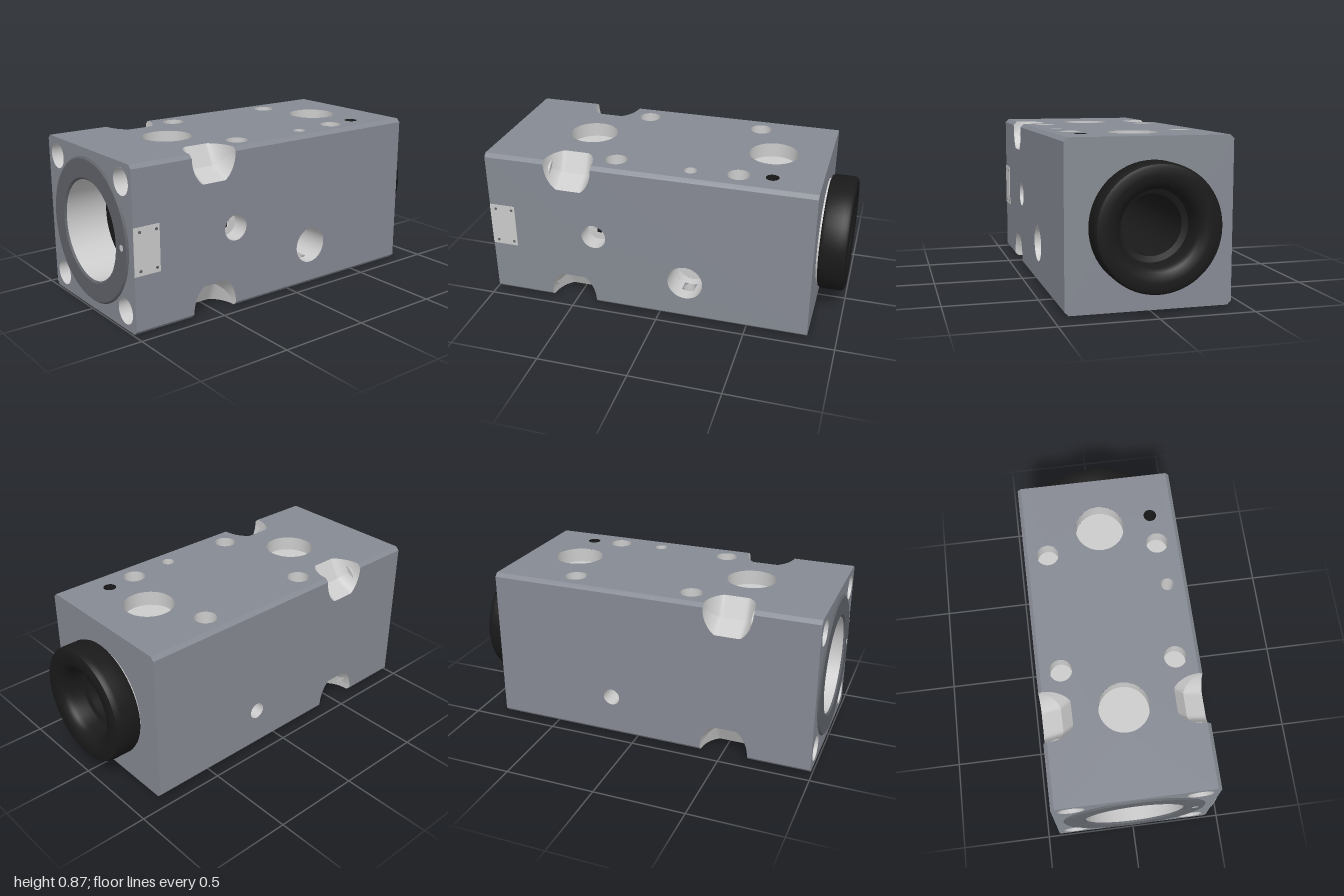
import * as THREE from 'three';
import { toCreasedNormals } from 'three/addons/utils/BufferGeometryUtils.js';

const H = 0.435, C = 0.02, X0 = -0.99, X1 = 0.84; // half width, chamfer, block ends
const NX = -0.51, NR = 0.135;                     // edge pocket centre and half width

const mat = (color) => new THREE.MeshStandardMaterial({ color, side: THREE.DoubleSide });
const BODY = mat(0x868a93), LIGHT = mat(0xcccccc), BLACK = mat(0x1a1a1a), DARK = mat(0x606369);

function add(parent, name, geometry, material) {
  const mesh = new THREE.Mesh(geometry, material);
  mesh.name = name;
  parent.add(mesh);
  return mesh;
}

const circle = (x, y, r) => new THREE.Path().absarc(x, y, r, 0, Math.PI * 2, true);

// Flat disc or annulus facing +z
function disc(r, inner, z) {
  const s = new THREE.Shape().absarc(0, 0, r, 0, Math.PI * 2);
  if (inner) s.holes.push(circle(0, 0, inner));
  return new THREE.ShapeGeometry(s, 24).translate(0, 0, z);
}

// Open tube along z from z0 down to z1
function tube(r, z0, z1, start = 0, length = Math.PI * 2) {
  return new THREE.CylinderGeometry(r, r, z0 - z1, 36, 1, true, start, length)
    .rotateX(Math.PI / 2).translate(0, 0, (z0 + z1) / 2);
}

// Solid of revolution about x from [radius, x] pairs
function turned(points) {
  const g = new THREE.LatheGeometry(points.map(([r, x]) => new THREE.Vector2(r, x)), 64);
  return toCreasedNormals(g.rotateZ(-Math.PI / 2), 0.6);
}

// Pocket outline samples: position along x, and 0..1 depth
const pocketSamples = Array.from({ length: 29 }, (_, i) => {
  const a = Math.PI * i / 28;
  return { x: NX - NR * Math.cos(a), s: Math.min(1, 1.17 * Math.sin(a)) };
});
const reach = (s) => C + 0.143 * s;

// One surface of a pocket, ruled between two edge curves
function ruled(curveA, curveB) {
  const pos = [], idx = [];
  pocketSamples.forEach((p, i) => {
    pos.push(p.x, ...curveA(p.s), p.x, ...curveB(p.s));
    if (i) idx.push(2 * i - 2, 2 * i - 1, 2 * i, 2 * i, 2 * i - 1, 2 * i + 1);
  });
  const g = new THREE.BufferGeometry();
  g.setAttribute('position', new THREE.Float32BufferAttribute(pos, 3));
  g.setIndex(idx);
  g.computeVertexNormals();
  return g;
}

// Long side with pockets cut in both edges, plus its upper chamfer and pocket
function makeSide(name, angle, holes) {
  const side = new THREE.Group();
  side.name = name;
  side.rotation.x = angle;
  const shape = new THREE.Shape();
  shape.moveTo(X0, -H + C);
  pocketSamples.forEach((p) => shape.lineTo(p.x, -H + reach(p.s)));
  shape.lineTo(X1, -H + C);
  shape.lineTo(X1, H - C);
  [...pocketSamples].reverse().forEach((p) => shape.lineTo(p.x, H - reach(p.s)));
  shape.lineTo(X0, H - C);
  for (const h of holes) shape.holes.push(circle(h.x, h.v, h.r));
  add(side, 'sideFace', new THREE.ShapeGeometry(shape, 24).translate(0, 0, H), BODY);

  for (const [a, b] of [[X0, NX - NR], [NX + NR, X1]]) {
    const strip = new THREE.PlaneGeometry(b - a, C * Math.SQRT2).rotateX(-Math.PI / 4);
    add(side, 'edgeChamfer', strip.translate((a + b) / 2, H - C / 2, H - C / 2), BODY);
  }
  const inner = (s) => [H - 0.01 - 0.097 * s, H - 0.01 - 0.097 * s];
  add(side, 'pocketFloor', ruled((s) => [H - reach(s), H], inner), LIGHT);
  add(side, 'pocketWall', ruled(inner, (s) => [H, H - reach(s)]), LIGHT);

  for (const h of holes) {
    const g = new THREE.Group();
    g.name = 'drilledHole';
    g.position.set(h.x, h.v, 0);
    side.add(g);
    const end = H - h.depth;
    if (h.crossed) {
      // Counterbore wall left open where the vertical hole passes through
      add(g, 'holeWall', tube(h.r, H, 0.36), LIGHT);
      add(g, 'holeWall', tube(h.r, 0.29, end), LIGHT);
      for (const t of [0.36, Math.PI + 0.36])
        add(g, 'holeWall', tube(h.r, 0.36, 0.29, t, Math.PI - 0.72), LIGHT);
    } else add(g, 'holeWall', tube(h.r, H, end), h.black ? BLACK : LIGHT);
    if (!h.through) add(g, 'holeFloor', disc(h.r, h.inner, end), h.black ? BLACK : LIGHT);
    if (h.inner) add(g, 'innerBore', tube(h.inner, end, h.innerEnd), LIGHT);
    if (h.pin) {
      add(g, 'innerFloor', disc(h.inner, 0, h.innerEnd), LIGHT);
      add(g, 'pin', new THREE.BoxGeometry(0.025, 0.045, 0.05).translate(0, 0, end - 0.02), BLACK);
    }
  }
  return side;
}

// Hole pattern shared by the top and bottom; k gives the direction of z
function mountingHoles(k) {
  const list = [
    { x: -0.51, v: 0, r: 0.135, depth: 0.08 },
    { x: 0.535, v: 0, r: 0.135, depth: 0.08 },
    { x: 0.15, v: 0.325 * k, r: 0.035, depth: k < 0 ? 0.54 : 0.13, through: true },
    { x: 0.58, v: 0.29 * k, r: 0.035, depth: 0.25, black: true },
  ];
  for (const x of [-0.27, 0.405])
    for (const v of [-0.305, 0.305]) list.push({ x, v, r: 0.06, depth: 0.08 });
  return list;
}

// Square end with clipped corners
function endShape(holes) {
  const k = H - C;
  const s = new THREE.Shape([[H, -k], [H, k], [k, H], [-k, H], [-H, k], [-H, -k], [-k, -H], [k, -H]]
    .map(([x, y]) => new THREE.Vector2(x, y)));
  s.holes.push(...holes);
  return new THREE.ShapeGeometry(s, 24);
}

export function createModel() {
  const model = new THREE.Group();
  model.name = 'machinedBlock';
  const block = new THREE.Group();
  block.name = 'block';
  block.position.y = H;
  model.add(block);

  // Four long sides
  block.add(
    makeSide('frontSide', 0, [
      { x: -0.375, v: 0.005, r: 0.07, depth: 0.1, inner: 0.03, innerEnd: 0.25, pin: true },
      { x: 0.15, v: -0.205, r: 0.1, depth: 0.2, inner: 0.047, innerEnd: -H, crossed: true },
    ]),
    makeSide('topSide', -Math.PI / 2, mountingHoles(-1)),
    makeSide('backSide', Math.PI, [{ x: 0.15, v: 0.205, r: 0.047, depth: 0.1, through: true }]),
    makeSide('bottomSide', Math.PI / 2, mountingHoles(1)),
  );

  // Ends, with corner bolt holes leading to the edge pockets
  add(block, 'leftEnd', endShape([circle(0, 0, 0.2)]).rotateY(Math.PI / 2).translate(X1, 0, 0), BODY);
  const corners = [[1, 1], [1, -1], [-1, 1], [-1, -1]].map(([a, b]) => [a * 0.335, b * 0.335]);
  const cuts = corners.map(([z, y]) => circle(z, y, 0.07));
  add(block, 'rightEnd', endShape([circle(0, 0, 0.27), ...cuts]).rotateY(-Math.PI / 2).translate(X0, 0, 0), BODY);
  for (const [z, y] of corners) {
    const bolt = add(block, 'boltHole', tube(0.07, -X0, 0.625), LIGHT);
    add(bolt, 'boltHoleEnd', disc(0.07, 0.04, 0.625), LIGHT);
    bolt.rotation.y = -Math.PI / 2;
    bolt.position.set(0, y, z);
  }

  // Flange ring and wide bore at the right end
  add(block, 'flangeRing', turned([[0.27, -0.99], [0.28, -1], [0.38, -1], [0.39, -0.99]]), DARK);
  add(block, 'wideBore', turned([[0.27, -0.75], [0.27, -0.99]]), LIGHT);
  add(block, 'ringHole', new THREE.CylinderGeometry(0.017, 0.017, 0.004, 20)
    .rotateZ(Math.PI / 2).translate(-0.999, 0, 0.335), LIGHT);

  // Black sleeve through the block, ending in a rounded collar
  add(block, 'sleeve', turned([
    [0.27, -0.75], [0.155, -0.75], [0.155, 0.86], [0.185, 0.87], [0.188, 0.94], [0.195, 0.965],
    [0.21, 0.985], [0.235, 0.997], [0.26, 1], [0.298, 1], [0.313, 0.994], [0.321, 0.98],
    [0.322, 0.96], [0.322, 0.87], [0.315, 0.855], [0.3, 0.85], [0.29, 0.85],
  ]), BLACK);
  add(block, 'neck', turned([[0.295, 0.84], [0.295, 0.855]]), LIGHT);

  // Small plate with four screws on the front
  const plate = add(block, 'plate', new THREE.BoxGeometry(0.148, 0.25, 0.006), LIGHT);
  plate.position.set(-0.916, 0, H);
  for (const x of [-0.04, 0.055])
    for (const y of [-0.1, 0.1])
      add(plate, 'plateScrew', new THREE.CylinderGeometry(0.008, 0.008, 0.004, 12)
        .rotateX(Math.PI / 2).translate(x, y, 0.003), DARK);
  return model;
}
